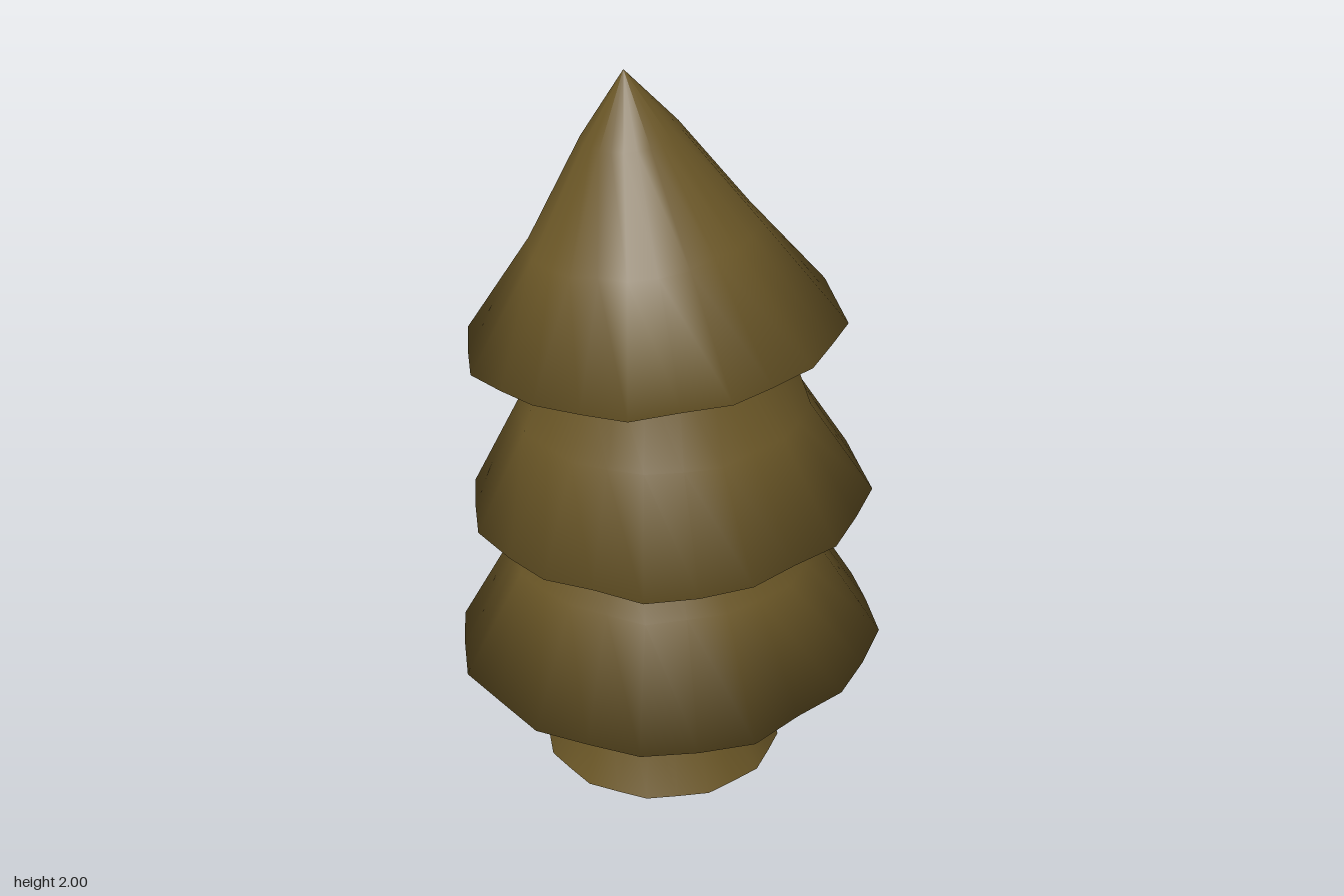
import * as THREE from 'three';

const SIDES = 24;

// Ring: centre x/z, height y, radius r, tilt (rise toward +x), lift (rise at both sides),
// ripple (12 blunt corners), wave (irregular edge), dip (sag at back right)
function ringPoints({ x = 0, z = 0, y, r, tilt = 0, lift = 0, ripple = 0.03, wave = 0, dip = 0 }) {
  const points = [];
  for (let i = 0; i < SIDES; i++) {
    const a = (i / SIDES) * Math.PI * 2;
    const rad = r * (1 - (i % 2) * ripple + wave * Math.sin(5 * a + 1));
    const sag = dip * Math.max(0, Math.cos(a - Math.PI * 1.25)) ** 4;
    const flutter = wave * 0.4 * Math.sin(7 * a + y * 9);
    const height = y + tilt * Math.cos(a) + lift * Math.cos(2 * a) - sag + flutter;
    points.push(x + Math.cos(a) * rad, height, z + Math.sin(a) * rad);
  }
  return points;
}

// Smooth loft through a list of rings
function loft(rings) {
  const index = [];
  for (let k = 0; k < rings.length - 1; k++) {
    for (let i = 0; i < SIDES; i++) {
      const a = k * SIDES + i, d = k * SIDES + (i + 1) % SIDES;
      const b = a + SIDES, c = d + SIDES;
      index.push(a, b, c, a, c, d);
    }
  }
  const geometry = new THREE.BufferGeometry();
  geometry.setAttribute('position', new THREE.Float32BufferAttribute(rings.flatMap(ringPoints), 3));
  geometry.setIndex(index);
  geometry.computeVertexNormals();
  return geometry;
}

export function createModel() {
  const group = new THREE.Group();
  const bark = new THREE.MeshStandardMaterial({ color: 0x6b5727, side: THREE.DoubleSide });
  bark.name = 'olive brown';

  const add = (name, rings) => {
    const mesh = new THREE.Mesh(loft(rings), bark);
    mesh.name = name;
    group.add(mesh);
  };

  // Trunk flaring toward the ground, with a flat base
  const foot = { x: -0.02, y: 0, r: 0.333 };
  add('trunkBase', [{ ...foot, r: 0.001 }, foot]);
  add('trunk', [
    foot,
    { x: -0.02, y: 0.22, r: 0.243 },
    { x: -0.025, y: 0.42, r: 0.238 },
  ]);

  // Each tier: underside, drooping rim, waist, neck
  add('lowerTier', [
    { x: -0.02, y: 0.39, r: 0.225 },
    { x: -0.003, y: 0.355, r: 0.582, tilt: 0.015, lift: 0.014, wave: 0.012, dip: 0.04 },
    { x: -0.01, y: 0.645, r: 0.415, tilt: 0.01, wave: 0.01 },
    { x: -0.02, y: 0.81, r: 0.35, tilt: 0.01 },
    { x: -0.02, y: 0.86, r: 0.33 },
  ]);

  add('middleTier', [
    { x: -0.02, y: 0.83, r: 0.31 },
    { x: 0.003, z: 0.005, y: 0.81, r: 0.538, tilt: 0.02, lift: 0.01, wave: 0.012, dip: 0.015 },
    { x: -0.015, y: 1.075, r: 0.387, tilt: 0.015, wave: 0.01 },
    { x: -0.018, y: 1.31, r: 0.31, tilt: 0.015 },
    { x: -0.02, y: 1.37, r: 0.29 },
  ]);

  add('topTier', [
    { x: -0.02, y: 1.335, r: 0.27 },
    { x: -0.035, z: 0.025, y: 1.31, r: 0.495, tilt: 0.04, wave: 0.012 },
    { x: -0.063, z: 0.015, y: 1.575, r: 0.298, tilt: 0.035, wave: 0.01 },
    { x: -0.093, z: 0.01, y: 1.835, r: 0.128, tilt: 0.015 },
    { x: -0.11, z: 0.01, y: 2, r: 0.001 },
  ]);

  return group;
}
